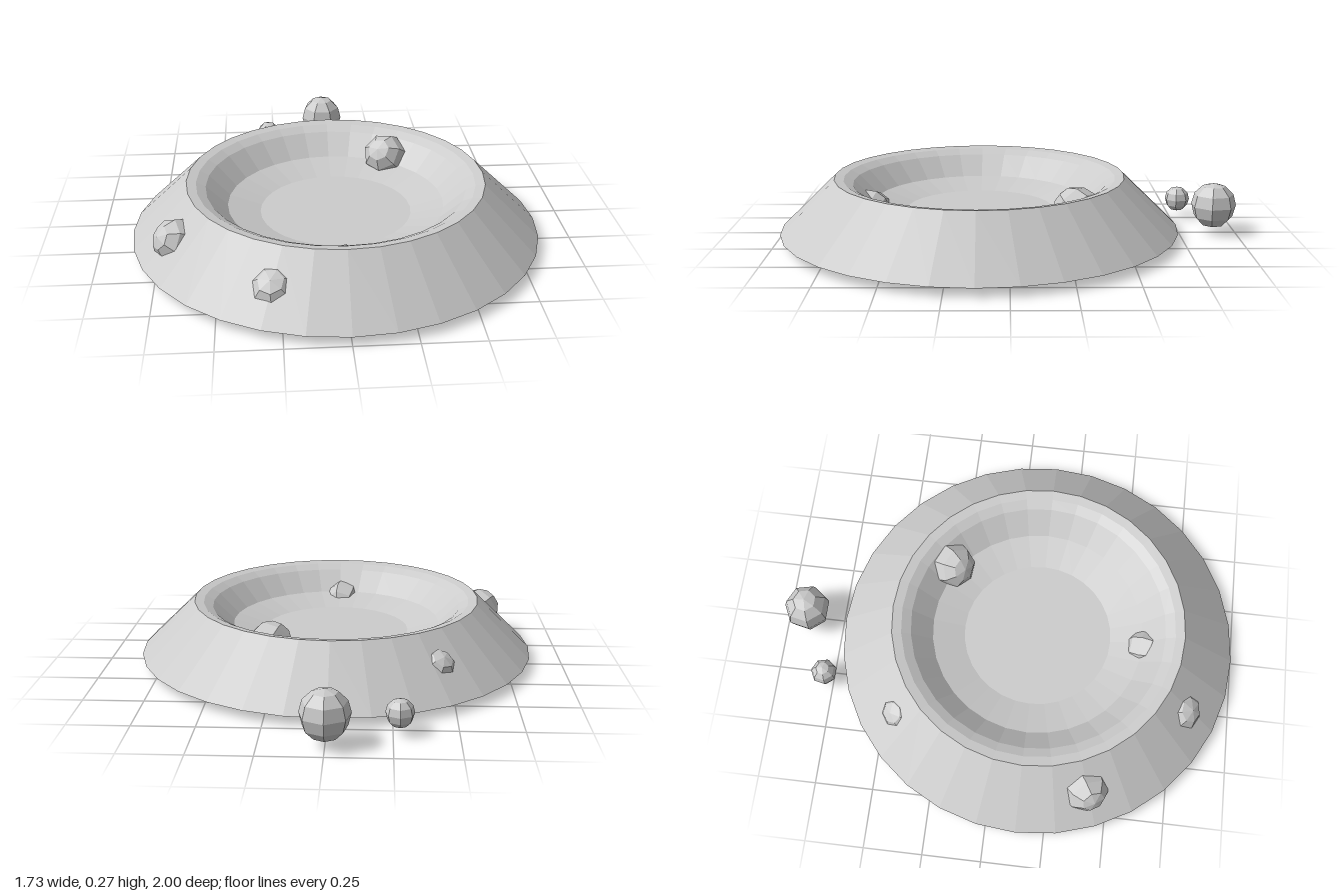
import * as THREE from 'three';

const material = new THREE.MeshStandardMaterial({ color: 0xcccccc, flatShading: true });
const CENTER_Z = 0.13;

function add(group, name, geometry, position, rotation = [0, 0, 0]) {
  const mesh = new THREE.Mesh(geometry, material);
  mesh.name = name;
  mesh.position.set(...position);
  mesh.rotation.set(...rotation);
  group.add(mesh);
}

// Low-poly boulder: seven sides, six bands
const boulder = (radius) => new THREE.SphereGeometry(radius, 7, 6);

export function createModel() {
  const group = new THREE.Group();
  group.name = 'crater';

  // Closed profile from the underside, up the outer slope, over the rounded rim and down into the bowl
  const profile = [
    [0, 0.04], [0.867, 0.04], [0.63, 0.27], [0.59, 0.263],
    [0.55, 0.242], [0.46, 0.155], [0.322, 0.116], [0, 0.116],
  ].map(([r, y]) => new THREE.Vector2(r, y));
  add(group, 'craterRing', new THREE.LatheGeometry(profile, 32), [0, 0, CENTER_Z]);

  // Loose boulders behind the crater
  add(group, 'largeLooseRock', boulder(0.1), [0, 0.127, -0.9], [0, -Math.PI / 2, 0]);
  add(group, 'smallLooseRock', boulder(0.057), [-0.275, 0.088, -0.783], [0, -Math.PI / 2, 0]);

  // Boulders sunk into the bowl and the outer slope: radius, position, rotation
  const sunken = [
    ['bowlRockBack', 0.1, [0.26, 0.175, -0.28], [0.6, 0.4, 0.5]],
    ['bowlRockFront', 0.09, [-0.01, 0.11, 0.61], [1.2, 0, 0.2]],
    ['slopeRockRight', 0.1, [-0.66, 0.13, 0.4], [0.4, 0.3, 0.9]],
    ['slopeRockBack', 0.09, [-0.42, 0.12, -0.41], [-0.6, 0.2, 0.4]],
    ['slopeRockFront', 0.103, [-0.275, 0.105, 0.765], [0.5, 0.6, 0.2]],
  ];
  for (const [name, radius, position, rotation] of sunken) {
    add(group, name, boulder(radius), position, rotation);
  }
  return group;
}
